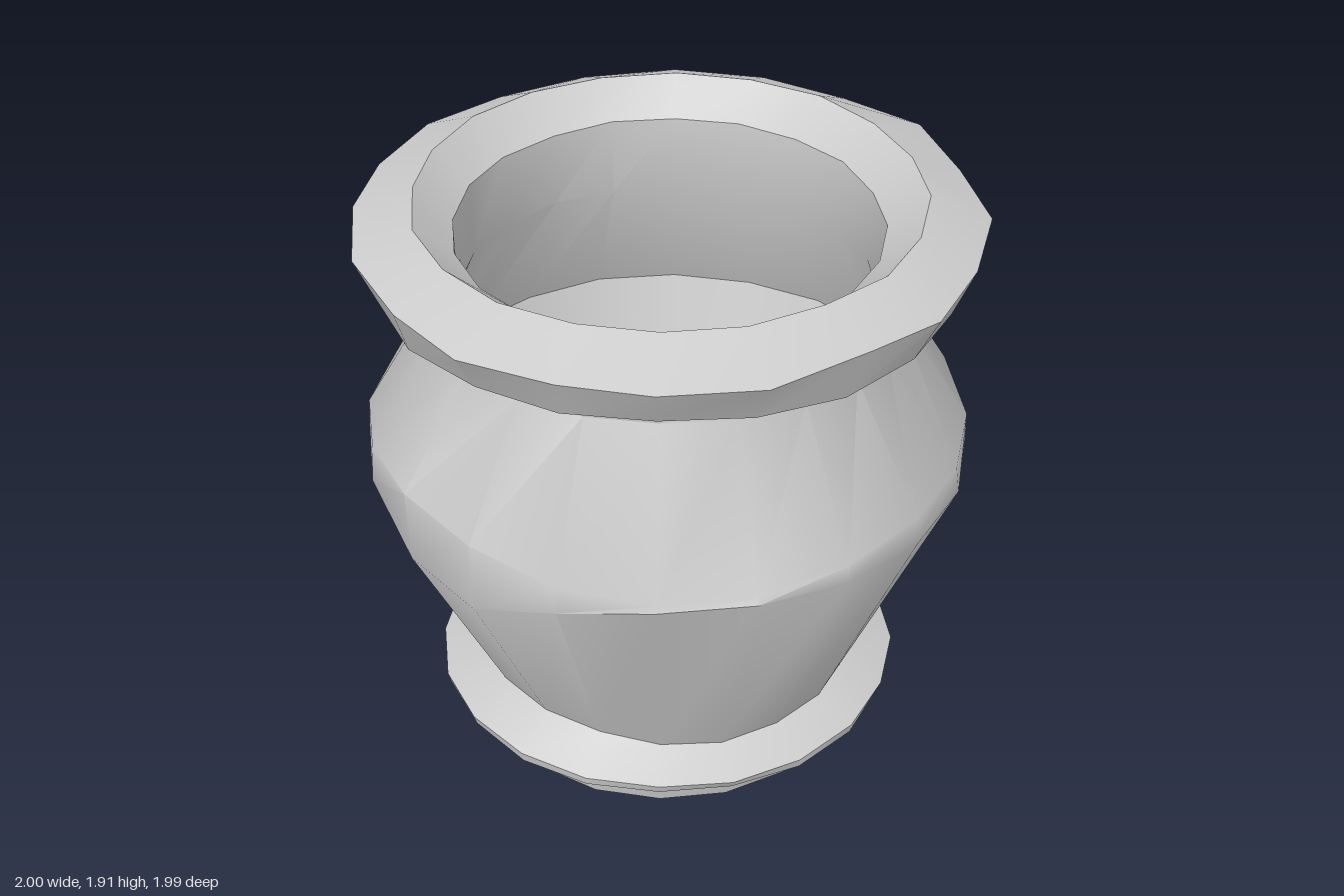
import * as THREE from 'three';
import { toCreasedNormals } from 'three/addons/utils/BufferGeometryUtils.js';

const SIDES = 20;

// Seeded noise in -1..1, so the hand-hewn wobble is always the same
let seed = 11;
const noise = () => {
  seed = (seed * 16807) % 2147483647;
  return (seed / 2147483647) * 2 - 1;
};

// Tent-shaped bump round the pot: 1 at the centre angle, 0 beyond the width (0 = front, 90 = left side)
const bump = (a, centre, width) => {
  const d = Math.abs(((a - centre + 540) % 360) - 180);
  return Math.max(0, 1 - d / width);
};

// Ring of points; dr and dy change radius and height by angle
function ring(r, y, { wobble = 0.006, dr = () => 0, dy = () => 0, cz = -0.01 } = {}) {
  const points = [];
  for (let i = 0; i < SIDES; i++) {
    const deg = ((i + 0.55) * 360) / SIDES;
    const a = THREE.MathUtils.degToRad(deg);
    const radius = r + dr(deg) + noise() * wobble;
    const h = y + dy(deg) + (y > 0 ? noise() * wobble * 0.6 : 0);
    points.push([Math.sin(a) * radius, h, Math.cos(a) * radius + cz]);
  }
  return points;
}

// All corners at one centre point, to close a disc
const centre = (y) => Array.from({ length: SIDES }, () => [0, y, -0.01]);

// Skin a run of rings
function skin(name, rings, crease) {
  const pos = [];
  const tri = (a, b, c) => {
    const same = (p, q) => p.every((v, k) => v === q[k]);
    if (!same(a, b) && !same(b, c) && !same(a, c)) pos.push(...a, ...b, ...c);
  };
  for (let k = 0; k < rings.length - 1; k++) {
    for (let i = 0; i < SIDES; i++) {
      const j = (i + 1) % SIDES;
      const [lo, hi] = [rings[k], rings[k + 1]];
      tri(lo[i], lo[j], hi[j]);
      tri(lo[i], hi[j], hi[i]);
    }
  }
  const geo = new THREE.BufferGeometry();
  geo.setAttribute('position', new THREE.Float32BufferAttribute(pos, 3));
  const mesh = new THREE.Mesh(
    toCreasedNormals(geo, crease),
    new THREE.MeshStandardMaterial({ color: 0xcccccc, side: THREE.DoubleSide })
  );
  mesh.name = name;
  return mesh;
}

// Rim outline, x and z, counter-clockwise from the front
const RIM = [
  [0.19, 0.96], [0.47, 0.88], [0.73, 0.68], [0.9, 0.37], [1, 0.12],
  [0.98, -0.19], [0.89, -0.51], [0.68, -0.73], [0.44, -0.94], [0.13, -1],
  [-0.18, -1], [-0.48, -0.91], [-0.72, -0.7], [-0.89, -0.43], [-1, -0.15],
  [-0.98, 0.16], [-0.89, 0.43], [-0.7, 0.7], [-0.42, 0.88], [-0.13, 0.99],
];

export function createModel() {
  const group = new THREE.Group();
  group.name = 'pot';

  // Shared seams between parts
  const foot = ring(0.655, 0.18, { dy: (a) => 0.07 * bump(a, 340, 60) + 0.02 * bump(a, 100, 90) });
  const neckTop = ring(0.735, 1.59, { dy: (a) => -0.02 * bump(a, 325, 50) });
  const lipInner = ring(0.81, 1.91, { wobble: 0.008, cz: -0.025 });

  // Base with a recess underneath and a flared ledge
  group.add(skin('base', [
    centre(0.09),
    ring(0.57, 0.09, { wobble: 0.004 }),
    ring(0.58, 0, { wobble: 0.004 }),
    ring(0.7, 0, { wobble: 0.006 }),
    ring(0.715, 0.06, { dy: (a) => 0.02 * bump(a, 290, 70) }),
    ring(0.78, 0.095),
    ring(0.79, 0.128, { wobble: 0.004 }),
    foot,
  ], 0.4));

  // Body: tapered wall, chiselled belly and sloping shoulder
  group.add(skin('body', [
    foot,
    ring(0.995, 1.01, {
      dy: (a) => -0.18 * bump(a, 345, 30) + 0.03 * bump(a, 40, 40),
      dr: (a) => -0.025 * bump(a, 350, 45) - 0.008 * bump(a, 180, 60),
    }),
    ring(0.985, 1.1, {
      dy: (a) => 0.15 * bump(a, 175, 45) - 0.05 * bump(a, 35, 45) + 0.06 * bump(a, 330, 40),
      dr: (a) => -0.04 * bump(a, 175, 45),
    }),
    ring(0.738, 1.55, { dy: (a) => -0.075 * bump(a, 106, 40) - 0.03 * bump(a, 330, 50) }),
    neckTop,
  ], 0.6));

  // Heavy rim
  group.add(skin('rim', [
    neckTop,
    ring(0.925, 1.67, { wobble: 0.012, dy: (a) => 0.02 * bump(a, 20, 60) }),
    RIM.map(([x, z]) => [x, 1.83 + noise() * 0.01, z]),
    lipInner,
  ], 0.45));

  // Hollow inside: narrow throat, belly following the outer wall, flat floor
  group.add(skin('interior', [
    lipInner,
    ring(0.688, 1.8, { cz: -0.025 }),
    ring(0.675, 1.55, { cz: -0.02 }),
    ring(0.87, 1.08),
    ring(0.565, 0.22, { wobble: 0.004, cz: -0.015 }),
    centre(0.22),
  ], 0.6));

  return group;
}
